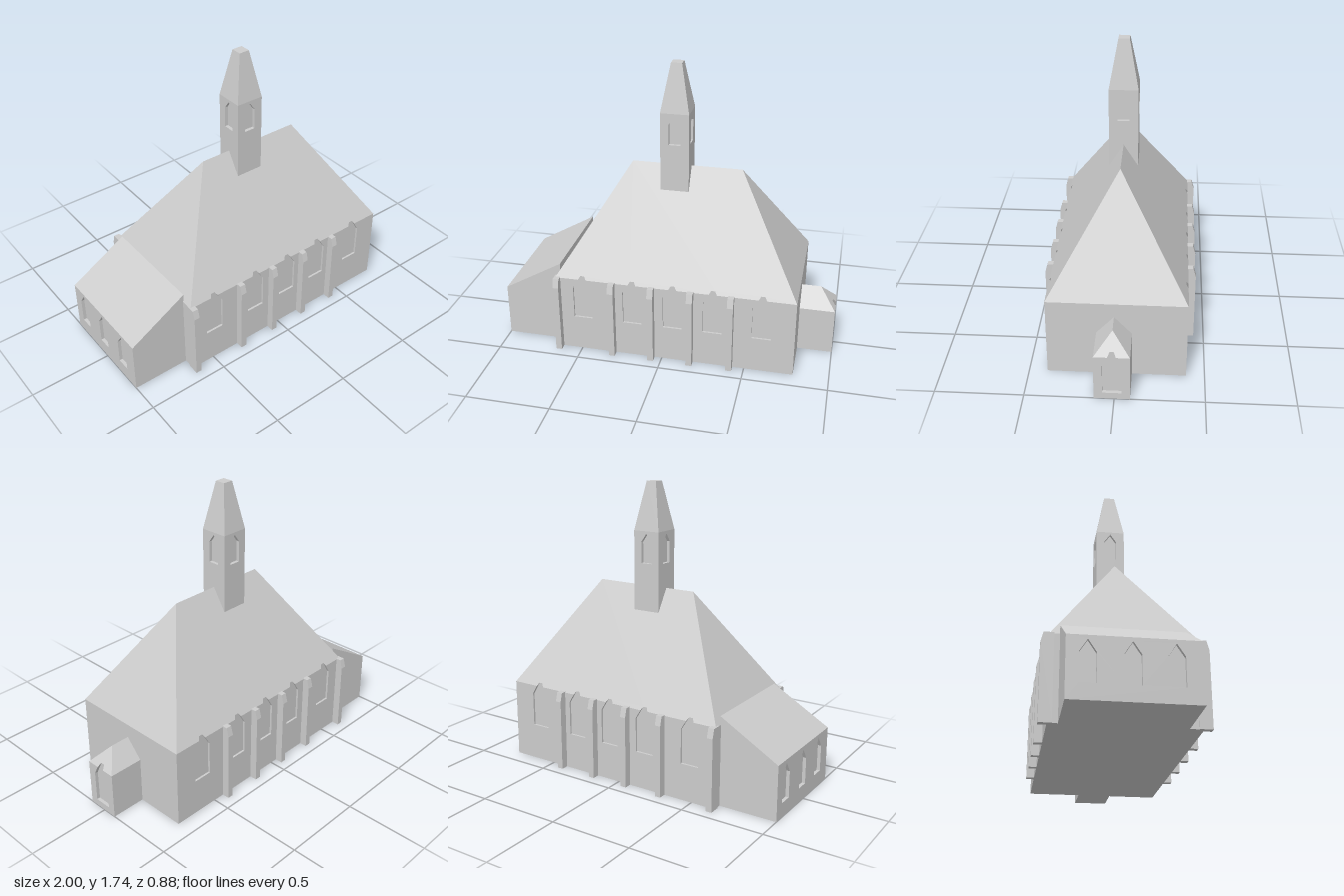
import * as THREE from 'three';

const stone = new THREE.MeshStandardMaterial({ color: 0xcccccc, side: THREE.DoubleSide });
stone.name = 'pale stone';

const polygon = (pts) => new THREE.Shape(pts.map(([x, y]) => new THREE.Vector2(x, y)));

function addMesh(parent, geometry, name) {
  const mesh = new THREE.Mesh(geometry, stone);
  mesh.name = name;
  parent.add(mesh);
  return mesh;
}

// right half of a pointed opening, bottom to top; it may cross the eave
function openingSide(w, eave) {
  if (w.tip <= eave) return [[w.hw, w.sill], [w.hw, w.spring], [0, w.tip]];
  const t = (eave - w.spring) / (w.tip - w.spring);
  const tipWidth = 0.012;
  return [[w.hw, w.sill], [w.hw, w.spring], [w.hw + (tipWidth - w.hw) * t, eave], [tipWidth, w.tip]];
}

// One side of a building: wall, sloping roof face above it, recessed pointed windows
function facade({ half, base, eave, top, topHalf, run, windows = [] }) {
  const group = new THREE.Group();
  const slope = run / (top - eave);
  const surface = (y) => (y > eave ? -(y - eave) * slope : 0);
  const wallPts = [[-half, eave], [-half, base], [half, base], [half, eave]];
  const roofPts = [[half, eave], [topHalf, top]];
  if (topHalf > 0) roofPts.push([-topHalf, top]);
  roofPts.push([-half, eave]);
  const holes = [];
  const notches = [];

  for (const w of [...windows].sort((a, b) => a.c - b.c)) {
    const side = openingSide(w, eave);
    const crossing = w.tip > eave;
    const right = side.map(([x, y]) => [w.c + x, y]);
    const left = side.map(([x, y]) => [w.c - x, y]).reverse();
    const outline = crossing ? [...right, ...left] : [...right, ...left.slice(1)];
    const depth = crossing ? -surface(w.tip) : 0.02;
    if (crossing) notches.push({ right, left });
    else holes.push(polygon(outline));

    // recessed pane and the reveal around it
    addMesh(group, new THREE.ShapeGeometry(polygon(outline)).translate(0, 0, -depth), 'windowPane');
    const pos = [];
    outline.forEach(([ax, ay], i) => {
      const [bx, by] = outline[(i + 1) % outline.length];
      const a = surface(ay), b = surface(by);
      pos.push(ax, ay, a, bx, by, b, bx, by, -depth, ax, ay, a, bx, by, -depth, ax, ay, -depth);
    });
    const reveal = new THREE.BufferGeometry();
    reveal.setAttribute('position', new THREE.Float32BufferAttribute(pos, 3));
    reveal.computeVertexNormals();
    addMesh(group, reveal, 'windowReveal');
  }

  // openings that cut the eave notch both the wall and the roof face
  for (const { right, left } of [...notches].reverse()) {
    wallPts.push(right[2], right[1], right[0], left[3], left[2], left[1]);
  }
  for (const { right, left } of notches) {
    roofPts.push(left[1], left[0], right[3], right[2]);
  }

  const wall = polygon(wallPts);
  wall.holes.push(...holes);
  addMesh(group, new THREE.ShapeGeometry(wall), 'wall');

  const roof = new THREE.ShapeGeometry(polygon(roofPts));
  const p = roof.attributes.position;
  for (let i = 0; i < p.count; i++) p.setZ(i, surface(p.getY(i)));
  roof.computeVertexNormals();
  addMesh(group, roof, 'roofSlope');
  return group;
}

function floorPlate(parent, hx, hz, y, name, up) {
  const plate = addMesh(parent, new THREE.PlaneGeometry(hx * 2, hz * 2), name);
  plate.rotation.x = up ? -Math.PI / 2 : Math.PI / 2;
  plate.position.y = y;
}

// Four facades closed into a block with a hipped or tapering roof
function hippedBlock(name, { hx, hz, tx, tz, base, eave, top, windows }) {
  const block = new THREE.Group();
  block.name = name;
  ['front', 'left', 'back', 'right'].forEach((side, i) => {
    const end = i % 2 === 1;
    const face = facade({
      half: end ? hz : hx, topHalf: end ? tz : tx, run: end ? hx - tx : hz - tz,
      base, eave, top, windows: windows[side],
    });
    face.name = side + 'Side';
    face.rotation.y = i * Math.PI / 2;
    face.position.set([0, hx, 0, -hx][i], 0, [hz, 0, -hz, 0][i]);
    block.add(face);
  });
  floorPlate(block, hx, hz, base, 'underside', false);
  if (tz > 0) floorPlate(block, tx, tz, top, 'cap', true);
  return block;
}

export function createModel() {
  const model = new THREE.Group();
  model.name = 'church';

  // nave with five windows along each long side
  const naveX = 0.07;
  const naveWindow = (c) => ({ c, hw: 0.057, sill: 0.22, spring: 0.425, tip: 0.5 });
  const centres = [-0.485, -0.18, 0.065, 0.305, 0.595].map((x) => x - naveX);
  const nave = hippedBlock('nave', {
    hx: 0.72, hz: 0.395, tx: 0.33, tz: 0, base: 0, eave: 0.48, top: 1.11,
    windows: { front: centres.map(naveWindow), back: centres.map((c) => naveWindow(-c)) },
  });
  nave.position.x = naveX;
  model.add(nave);

  // bell tower with one opening per side and a tapering spire
  const bell = [{ c: 0, hw: 0.035, sill: 1.26, spring: 1.385, tip: 1.435 }];
  const tower = hippedBlock('tower', {
    hx: 0.085, hz: 0.085, tx: 0.032, tz: 0.032, base: 0.9, eave: 1.45, top: 1.735,
    windows: { front: bell, left: bell, back: bell, right: bell },
  });
  tower.position.x = 0.011;
  model.add(tower);

  // entrance porch, its inner end buried in the nave
  const porch = hippedBlock('porch', {
    hx: 0.2, hz: 0.1, tx: 0.105, tz: 0, base: 0, eave: 0.285, top: 0.395,
    windows: { left: [{ c: 0, hw: 0.053, sill: 0.04, spring: 0.225, tip: 0.308 }] },
  });
  porch.position.set(0.8, 0, 0.013);
  model.add(porch);

  // lean-to annex with three end windows
  const annex = new THREE.Group();
  annex.name = 'annex';
  annex.position.z = -0.01;
  const annexHalf = 0.33;
  const end = facade({
    half: annexHalf, topHalf: annexHalf, base: 0, eave: 0.325, top: 0.53, run: 0.355,
    windows: [-0.225, -0.01, 0.2].map((c) => ({ c, hw: 0.042, sill: 0.085, spring: 0.24, tip: 0.305 })),
  });
  end.name = 'annexEnd';
  end.rotation.y = -Math.PI / 2;
  end.position.x = -1;
  annex.add(end);
  const profile = polygon([[-1, 0], [-0.645, 0], [-0.645, 0.53], [-1, 0.325]]);
  for (const s of [1, -1]) {
    addMesh(annex, new THREE.ShapeGeometry(profile), 'annexSide').position.z = s * annexHalf;
  }
  const back = addMesh(annex, new THREE.PlaneGeometry(annexHalf * 2, 0.53), 'annexBack');
  back.rotation.y = Math.PI / 2;
  back.position.set(-0.645, 0.265, 0);
  const under = new THREE.Group();
  under.name = 'annexFloor';
  under.position.x = -0.8225;
  floorPlate(under, 0.1775, annexHalf, 0, 'annexUnderside', false);
  annex.add(under);
  model.add(annex);

  // buttresses with chamfered tops along both long walls
  const buttressProfile = polygon([[0.37, 0], [0.44, 0], [0.44, 0.43], [0.425, 0.485], [0.37, 0.485]]);
  for (const x of [-0.638, -0.302, -0.062, 0.173, 0.413]) {
    for (const s of [1, -1]) {
      const g = new THREE.ExtrudeGeometry(buttressProfile, { depth: 0.036, bevelEnabled: false });
      g.translate(0, 0, -0.018);
      const buttress = addMesh(model, g, 'buttress');
      buttress.rotation.y = -s * Math.PI / 2;
      buttress.position.x = x;
    }
  }
  return model;
}
